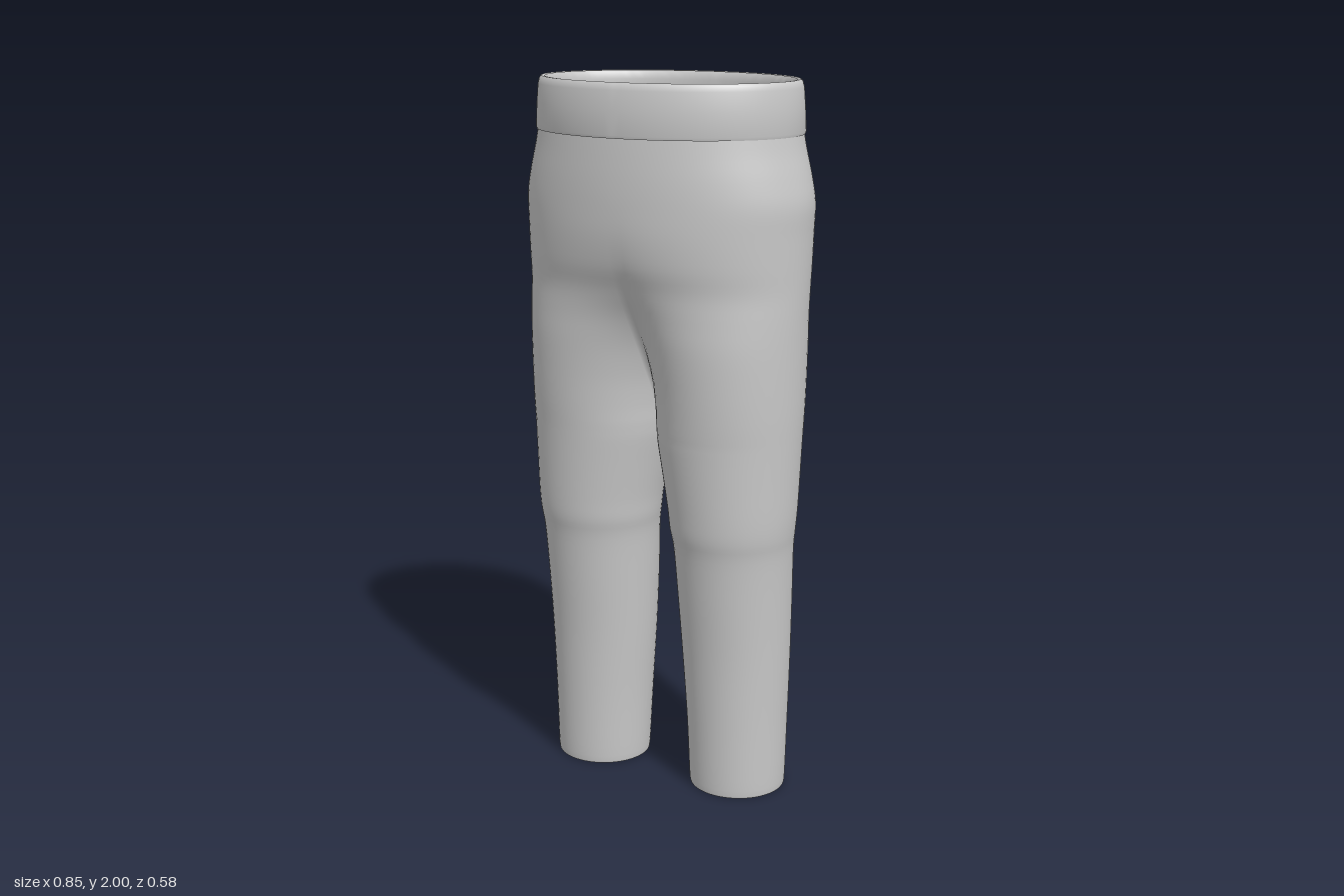
import * as THREE from 'three';
import { mergeVertices, mergeGeometries, toCreasedNormals } from 'three/addons/utils/BufferGeometryUtils.js';

const SEGMENTS = 56;

// One half section: [y, outer x, inner x, front z, back z].
// A negative inner x means the ellipse is cut open at the centre seam.
function halfSection([y, outer, inner, front, back]) {
  const cx = (outer + inner) / 2, rx = (outer - inner) / 2;
  const cz = (front + back) / 2, rz = (front - back) / 2;
  const start = Math.acos(Math.max(-1, -cx / rx));
  const points = [];
  for (let j = 0; j <= SEGMENTS; j++) {
    const a = start * (1 - (2 * j) / SEGMENTS);
    const x = cx + rx * Math.cos(a);
    points.push([x < 1e-6 ? 0 : x, y, cz + rz * Math.sin(a)]);
  }
  return points;
}

// Loft the sections for one side (+1 left, -1 right)
function loftSide(sections, side) {
  const positions = [], index = [], w = SEGMENTS + 1;
  for (const s of sections) for (const [x, y, z] of halfSection(s)) positions.push(side * x, y, z);
  for (let i = 0; i < sections.length - 1; i++) {
    for (let j = 0; j < SEGMENTS; j++) {
      const a = i * w + j, b = a + 1, c = b + w, d = a + w;
      if (side > 0) index.push(a, b, c, a, c, d);
      else index.push(a, c, b, a, d, c);
    }
  }
  const g = new THREE.BufferGeometry();
  g.setAttribute('position', new THREE.Float32BufferAttribute(positions, 3));
  g.setIndex(index);
  return g;
}

// Both sides welded along the centre seam
function loftBoth(sections, creaseAngle) {
  const g = mergeVertices(mergeGeometries([loftSide(sections, 1), loftSide(sections, -1)]), 1e-5);
  if (creaseAngle) return toCreasedNormals(g, creaseAngle);
  g.computeVertexNormals();
  return g;
}

// Catmull-Rom refinement of the key sections
function refine(keys, steps) {
  const out = [];
  const at = i => keys[Math.min(keys.length - 1, Math.max(0, i))];
  for (let i = 0; i < keys.length - 1; i++) {
    const [p, q, r, s] = [at(i - 1), at(i), at(i + 1), at(i + 2)];
    for (let k = 0; k < steps; k++) {
      const t = k / steps;
      out.push(q.map((v, n) => v + 0.5 * t * (r[n] - p[n]
        + t * (2 * p[n] - 5 * v + 4 * r[n] - s[n] + t * (3 * (v - r[n]) + s[n] - p[n])))));
    }
  }
  out.push(keys[keys.length - 1]);
  return out;
}

export function createModel() {
  const cloth = new THREE.MeshStandardMaterial({ color: 0xc8c8c8, side: THREE.DoubleSide });
  cloth.name = 'grey cloth';
  const group = new THREE.Group();
  group.name = 'trousers';
  const add = (name, geometry) => {
    const mesh = new THREE.Mesh(geometry, cloth);
    mesh.name = name;
    group.add(mesh);
  };

  // Legs, crotch and hips as one skin
  const keys = [
    [0.00, 0.363, 0.094, 0.130, -0.136],
    [0.02, 0.367, 0.090, 0.134, -0.140],
    [0.20, 0.371, 0.081, 0.140, -0.149],
    [0.40, 0.377, 0.067, 0.150, -0.155],
    [0.58, 0.382, 0.057, 0.167, -0.159],
    [0.71, 0.387, 0.050, 0.181, -0.156],
    [0.77, 0.394, 0.041, 0.192, -0.156],
    [0.83, 0.399, 0.034, 0.197, -0.162],
    [0.93, 0.403, 0.017, 0.203, -0.172],
    [1.03, 0.407, 0.000, 0.209, -0.181],
    [1.11, 0.410, -0.003, 0.215, -0.190],
    [1.20, 0.412, -0.015, 0.221, -0.199],
    [1.30, 0.414, -0.050, 0.228, -0.208],
    [1.38, 0.416, -0.115, 0.233, -0.215],
    [1.45, 0.418, -0.220, 0.245, -0.235],
    [1.52, 0.420, -0.320, 0.268, -0.262],
    [1.60, 0.422, -0.390, 0.283, -0.279],
    [1.68, 0.424, -0.424, 0.288, -0.286],
    [1.75, 0.411, -0.411, 0.288, -0.287],
    [1.82, 0.393, -0.393, 0.285, -0.285],
    [1.88, 0.381, -0.381, 0.281, -0.281],
  ];
  add('legsAndHips', loftBoth(refine(keys, 4)));

  // Waistband: closed profile of [inset, y], outside up and inside down
  const band = [
    [0.012, 1.858], [0.002, 1.858], [0.000, 1.866], [0.003, 1.93], [0.007, 1.98], [0.011, 1.994],
    [0.017, 2.0], [0.022, 1.994], [0.026, 1.999], [0.031, 1.992], [0.034, 1.975], [0.032, 1.88], [0.008, 1.855],
  ].map(([o, y]) => [y, 0.389 - o, o - 0.389, 0.29 - o, o - 0.29]);
  add('waistband', loftBoth(band, 0.9));

  // Turned-in hems: lining down the inside, then out to the edge
  const hem = [[0.001, 0.15], [0.013, 0.12], [0.013, 0.004], [0.010, 0], [0, 0]]
    .map(([o, y]) => [y, 0.363 - o + y * 0.03, 0.094 + o - y * 0.05, 0.13 - o + y * 0.05, o - 0.136 - y * 0.05])
    .reverse();
  for (const side of [1, -1]) {
    const g = loftSide(hem, side);
    g.index.array.reverse(); // faces look into the leg
    add(side > 0 ? 'leftHem' : 'rightHem', toCreasedNormals(mergeVertices(g, 1e-5), 0.9));
  }
  return group;
}
